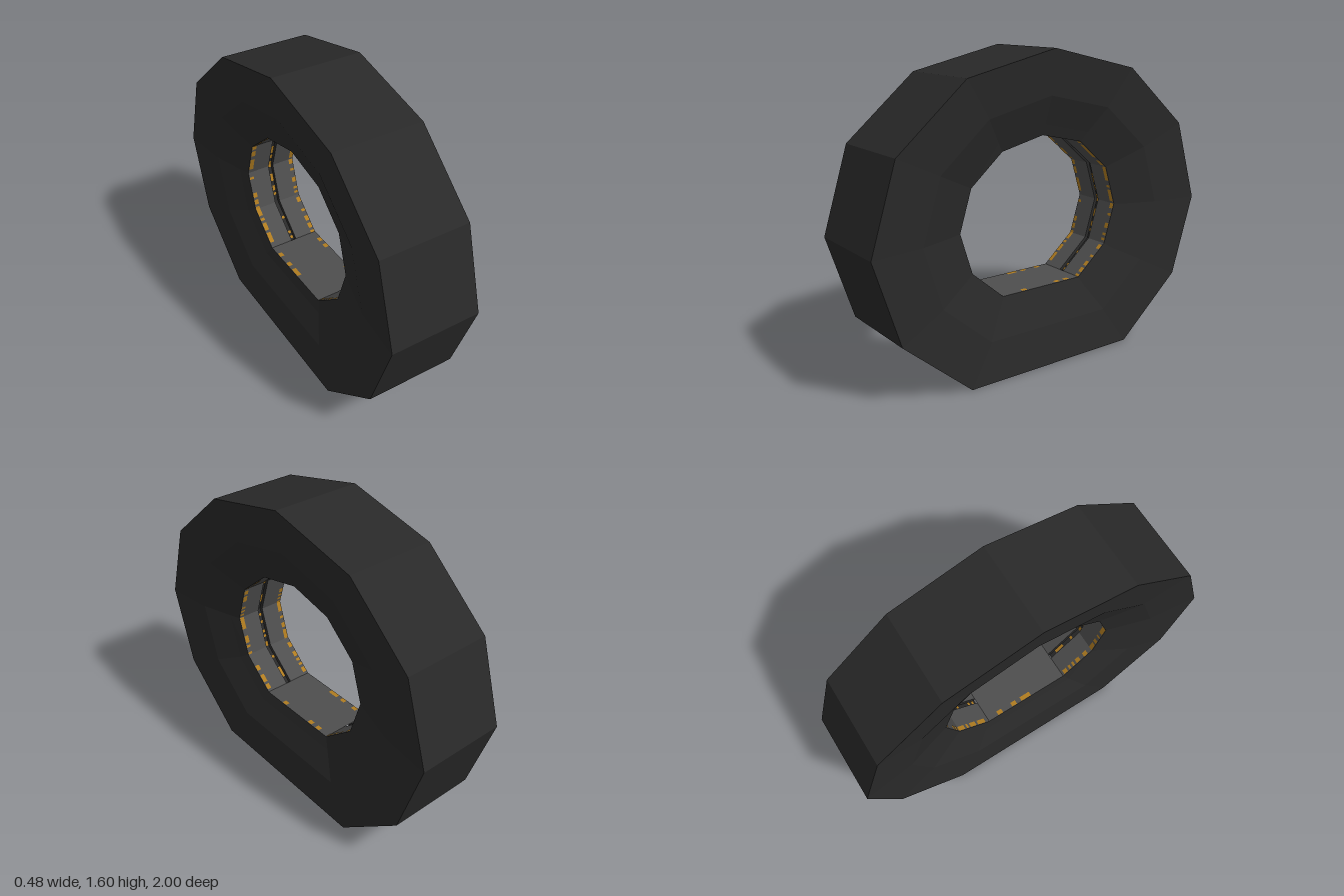
import * as THREE from 'three';

// Faceted ring: sweeps a profile of [x, zRadius, yRadius, centreY] round eleven
// corners (a twelve-sided ring whose lowest corner is cut flat).
// Each facet may be sliced, and keep(facet) decides which slices are built.
const FLOOR = 10; // index of the flat bottom facet

function ringGeometry(profile, slices = 1, keep = () => true) {
  const corner = ([x, rz, ry, cy], k) => {
    const a = ((k % 11) - 5) * Math.PI / 6;
    return new THREE.Vector3(x, cy + ry * Math.cos(a), rz * Math.sin(a));
  };
  const at = (p, k, t) => corner(p, k).lerp(corner(p, k + 1), t);
  const pos = [];
  for (let i = 0; i < profile.length - 1; i++) {
    for (let k = 0; k < 11; k++) {
      for (let s = 0; s < slices; s++) {
        if (!keep(k)) continue;
        const t0 = s / slices, t1 = (s + 1) / slices;
        const a = at(profile[i], k, t0), b = at(profile[i], k, t1);
        const c = at(profile[i + 1], k, t1), d = at(profile[i + 1], k, t0);
        for (const v of [a, b, c, a, c, d]) pos.push(v.x, v.y, v.z);
      }
    }
  }
  const g = new THREE.BufferGeometry();
  g.setAttribute('position', new THREE.Float32BufferAttribute(pos, 3));
  g.computeVertexNormals();
  return g;
}

export function createModel() {
  const group = new THREE.Group();
  const material = (name, color) => {
    const m = new THREE.MeshStandardMaterial({ color });
    m.name = name;
    return m;
  };
  const rubber = material('black rubber', 0x292929);
  const grey = material('grey lining', 0x4e4e4e);
  const amber = material('amber trim', 0xb07c20);

  const add = (name, geometry, mat) => {
    const mesh = new THREE.Mesh(geometry, mat);
    mesh.name = name;
    group.add(mesh);
  };

  // Tyre: tread and two sidewalls that slope in towards the hole
  const half = [
    [0.238, 1.0, 0.857, 0.743],
    [0.21, 0.73, 0.628, 0.747],
    [0.158, 0.555, 0.48, 0.75],
    [0.14, 0.49, 0.42, 0.755],
  ];
  const mirrored = half.map(([x, ...r]) => [-x, ...r]).reverse();
  add('tyre', ringGeometry([...mirrored, ...half]), rubber);

  // Lining of the hole, with a narrow groove round all but the flat bottom
  const inner = (x, depth = 0) => [x, 0.49 + depth, 0.42 + depth, 0.755];
  const notFloor = (k) => k !== FLOOR;
  add('innerLining', ringGeometry([inner(0.14), inner(0.014)], 1, notFloor), grey);
  add('innerLining', ringGeometry([inner(-0.014), inner(-0.14)], 1, notFloor), grey);
  add('innerFloor', ringGeometry([inner(0.14), inner(-0.14)], 1, (k) => k === FLOOR), grey);
  add('innerGroove', ringGeometry([
    inner(0.014), inner(0.01, 0.015), inner(-0.01, 0.015), inner(-0.014),
  ], 1, notFloor), rubber);

  // Broken trim lines along both rims and in the groove
  let seed = 7;
  const random = () => (seed = (seed * 16807) % 2147483647) / 2147483647;
  const dashes = (amount) => (k) => random() < (k === FLOOR ? 0.25 : amount);
  for (const x of [0.126, -0.126]) {
    add('rimTrim', ringGeometry(
      [inner(x + 0.012, -0.002), inner(x - 0.012, -0.002)], 16, dashes(0.6)), amber);
  }
  add('grooveTrim', ringGeometry(
    [inner(0.008, 0.012), inner(-0.008, 0.012)], 16, (k) => notFloor(k) && random() < 0.4), amber);
  return group;
}
